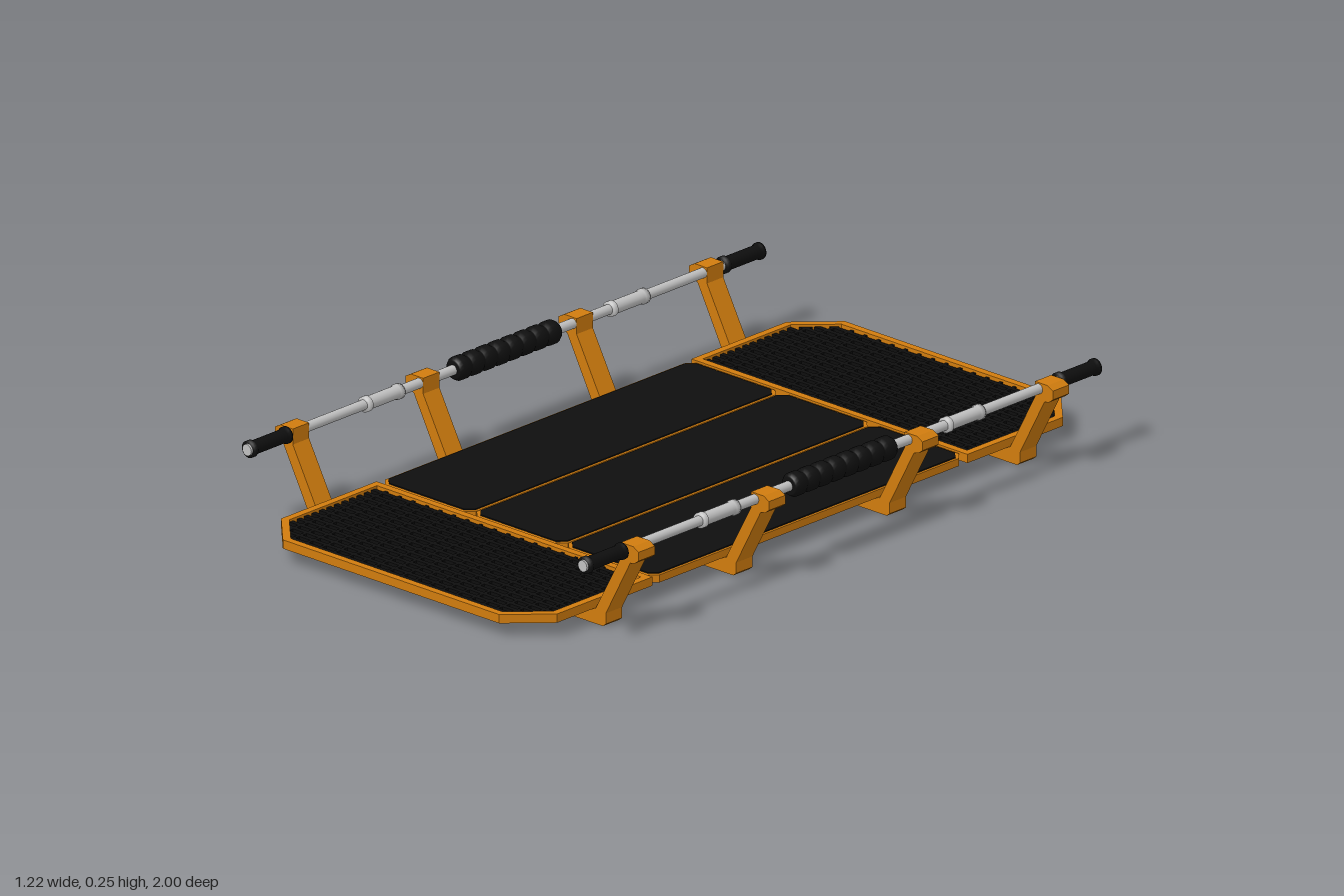
import * as THREE from 'three';

const mat = (name, color) => {
  const m = new THREE.MeshStandardMaterial({ color });
  m.name = name;
  return m;
};

const shapeOf = (pts) => new THREE.Shape(pts.map(([x, y]) => new THREE.Vector2(x, y)));

// Flat plate drawn in x,z with its top at the given height
function plate(pts, top, thickness, hole) {
  const s = shapeOf(pts);
  if (hole) s.holes.push(new THREE.Path(hole.map(([x, y]) => new THREE.Vector2(x, y))));
  const g = new THREE.ExtrudeGeometry(s, { depth: thickness, bevelEnabled: false });
  return g.rotateX(Math.PI / 2).translate(0, top, 0);
}

// Rectangle with all four corners cut
const cutRect = (w, h, c) => [
  [-w + c, -h], [w - c, -h], [w, -h + c], [w, h - c],
  [w - c, h], [-w + c, h], [-w, h - c], [-w, -h + c],
];

// Turned part lying along z; profile points are [radius, z]
function turned(profile, segments = 20) {
  const pts = profile.map(([r, z]) => new THREE.Vector2(r, z));
  return new THREE.LatheGeometry(pts, segments).rotateX(Math.PI / 2);
}

export function createModel() {
  const model = new THREE.Group();
  model.name = 'stretcherDeck';
  const orange = mat('orange paint', 0xd07c0e);
  const black = mat('black rubber', 0x0e0e0e);
  const silver = mat('silver metal', 0xc0c0c0);

  const add = (parent, name, geometry, material, x = 0, y = 0, z = 0) => {
    const m = new THREE.Mesh(geometry, material);
    m.name = name;
    m.position.set(x, y, z);
    parent.add(m);
    return m;
  };

  // Three deck panels with dark top mats
  for (const x of [-0.308, 0, 0.308]) {
    add(model, 'deckPanel', plate(cutRect(0.153, 0.555, 0.022), 0.06, 0.02), orange, x);
    add(model, 'deckMat', plate(cutRect(0.146, 0.547, 0.02), 0.063, 0.004), black, x);
  }

  // End platforms: chamfered frame filled with a grating
  const outer = [[-0.463, 0.56], [0.463, 0.56], [0.463, 0.9], [0.363, 1], [-0.363, 1], [-0.463, 0.9]];
  const inner = [[-0.443, 0.58], [-0.443, 0.892], [-0.355, 0.98], [0.355, 0.98], [0.443, 0.892], [0.443, 0.58]];
  for (const turn of [0, Math.PI]) {
    const end = new THREE.Group();
    end.name = turn ? 'backPlatform' : 'frontPlatform';
    end.rotation.y = turn;
    model.add(end);
    add(end, 'platformFrame', plate(outer, 0.063, 0.023, inner), orange);
    for (let i = 0; i < 15; i++) {
      const z = 0.594 + i * 0.0265;
      const half = Math.min(0.445, 1.34 - z);
      add(end, 'gratingCrossBar', new THREE.BoxGeometry(half * 2, 0.01, 0.013), black, 0, 0.052, z);
    }
    for (let i = -9; i <= 9; i++) {
      const x = i * 0.0455;
      const z1 = Math.min(0.982, 1.34 - Math.abs(x));
      add(end, 'gratingLongBar', new THREE.BoxGeometry(0.009, 0.01, z1 - 0.575), black, x, 0.052, (z1 + 0.575) / 2);
    }
  }

  // Cross brackets: one bent profile from rail to rail
  const half = [
    [0.49, 0], [0.5, 0.008], [0.5, 0.036], [0.582, 0.19], [0.597, 0.193], [0.61, 0.203],
    [0.61, 0.226], [0.592, 0.236], [0.55, 0.236], [0.55, 0.195], [0.466, 0.04],
  ];
  const bracketShape = shapeOf([...half, ...half.map(([x, y]) => [-x, y]).reverse()]);
  for (const z of [-0.737, -0.273, 0.273, 0.737]) {
    const g = new THREE.ExtrudeGeometry(bracketShape, { depth: 0.058, bevelEnabled: false });
    add(model, 'crossBracket', g, orange, 0, 0, z - 0.029);
  }

  // Ribbed foam grip profile
  const foam = [[0, -0.182], [0.022, -0.182]];
  for (let i = 0; i < 8; i++) {
    const z = -0.182 + i * 0.0455;
    foam.push([0.025, z + 0.002], [0.031, z + 0.012], [0.031, z + 0.034], [0.025, z + 0.0435]);
  }
  foam.push([0.022, 0.182], [0, 0.182]);
  const sleeve = [[0, -0.064], [0.02, -0.064], [0.02, -0.05], [0.017, -0.048],
    [0.017, 0.048], [0.02, 0.05], [0.02, 0.064], [0, 0.064]];
  const grip = [[0, -0.068], [0.022, -0.068], [0.022, -0.06], [0.018, -0.054],
    [0.018, 0.05], [0.022, 0.056], [0.022, 0.068], [0, 0.068]];

  // Side rails with sleeves, central foam and end grips
  for (const side of [-1, 1]) {
    const rail = new THREE.Group();
    rail.name = side > 0 ? 'leftRail' : 'rightRail';
    rail.position.set(side * 0.563, 0.22, 0);
    model.add(rail);
    add(rail, 'railTube', new THREE.CylinderGeometry(0.013, 0.013, 1.81, 20).rotateX(Math.PI / 2), silver);
    add(rail, 'foamGrip', turned(foam), black);
    for (const end of [-1, 1]) {
      add(rail, 'railSleeve', turned(sleeve), silver, 0, 0, end * 0.436);
      add(rail, 'handGrip', turned(grip), black, 0, 0, end * 0.842);
      add(rail, 'endCap', new THREE.CylinderGeometry(0.015, 0.015, 0.01, 16).rotateX(Math.PI / 2), silver, 0, 0, end * 0.911);
    }
  }
  return model;
}
